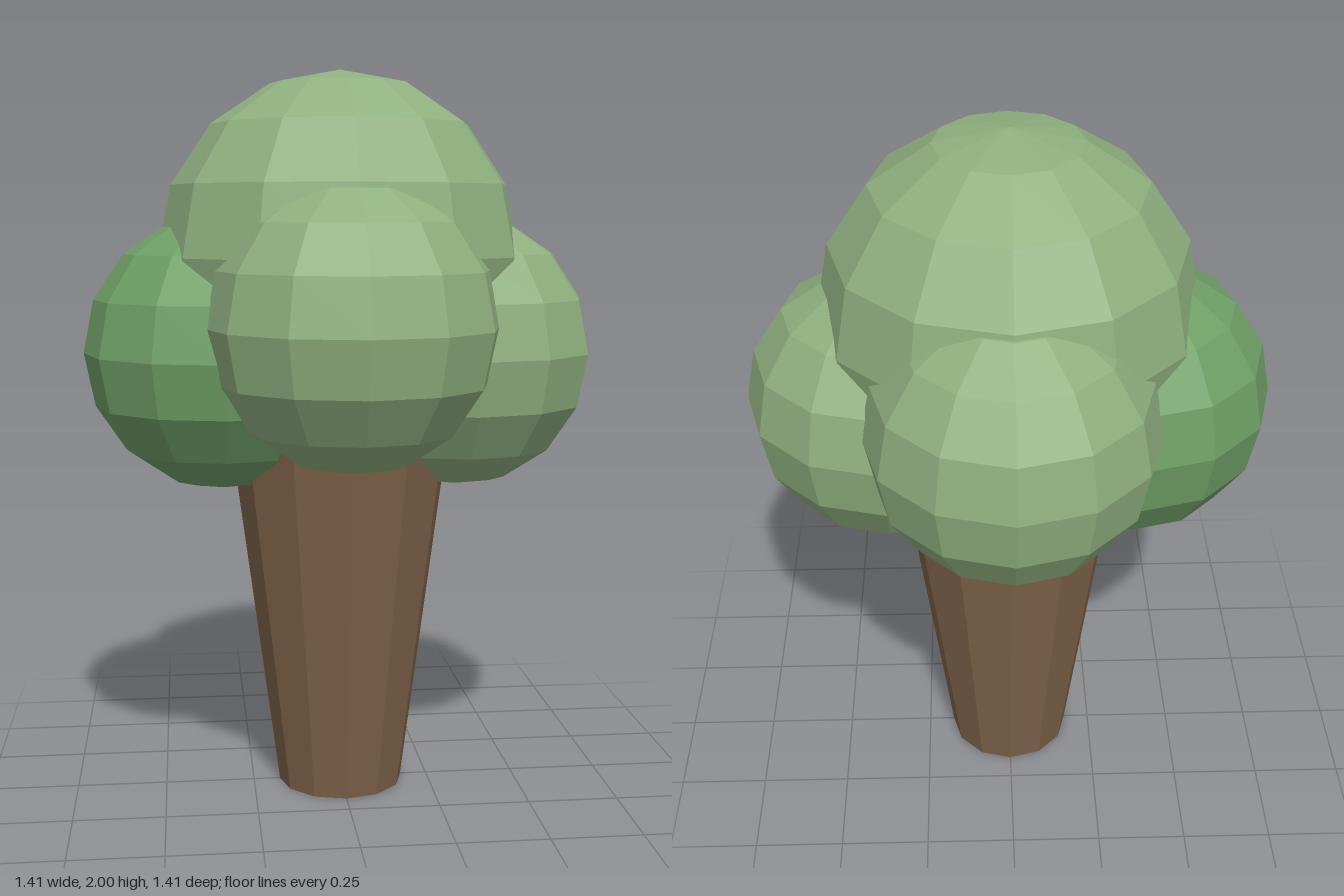
import * as THREE from 'three';

const LEAF = 0x8fb07f;
const DARK_LEAF = 0x6f9f66;
const BARK = 0x7d6248;

function part(name, geometry, color, x, y, z) {
  const material = new THREE.MeshStandardMaterial({ color, flatShading: true });
  const mesh = new THREE.Mesh(geometry, material);
  mesh.name = name;
  mesh.position.set(x, y, z);
  return mesh;
}

export function createModel() {
  const tree = new THREE.Group();
  tree.name = 'tree';

  // Trunk widens upward and ends hidden inside the foliage
  const height = 1.1;
  const trunk = new THREE.CylinderGeometry(0.32, 0.175, height, 12);
  tree.add(part('trunk', trunk, BARK, 0, height / 2, 0));

  // Large crown on top
  tree.add(part('crown', new THREE.SphereGeometry(0.5, 12, 8), LEAF, 0, 1.5, 0));

  // Four smaller clumps around it; the side pair sits a little lower
  const clump = new THREE.SphereGeometry(0.38, 12, 8);
  const offset = 0.325;
  for (const [name, x, y, z, color] of [
    ['frontClump', 0, 1.325, offset, LEAF],
    ['backClump', 0, 1.325, -offset, LEAF],
    ['leftClump', offset, 1.237, 0, LEAF],
    ['rightClump', -offset, 1.237, 0, DARK_LEAF],
  ]) {
    tree.add(part(name, clump, color, x, y, z));
  }

  return tree;
}
